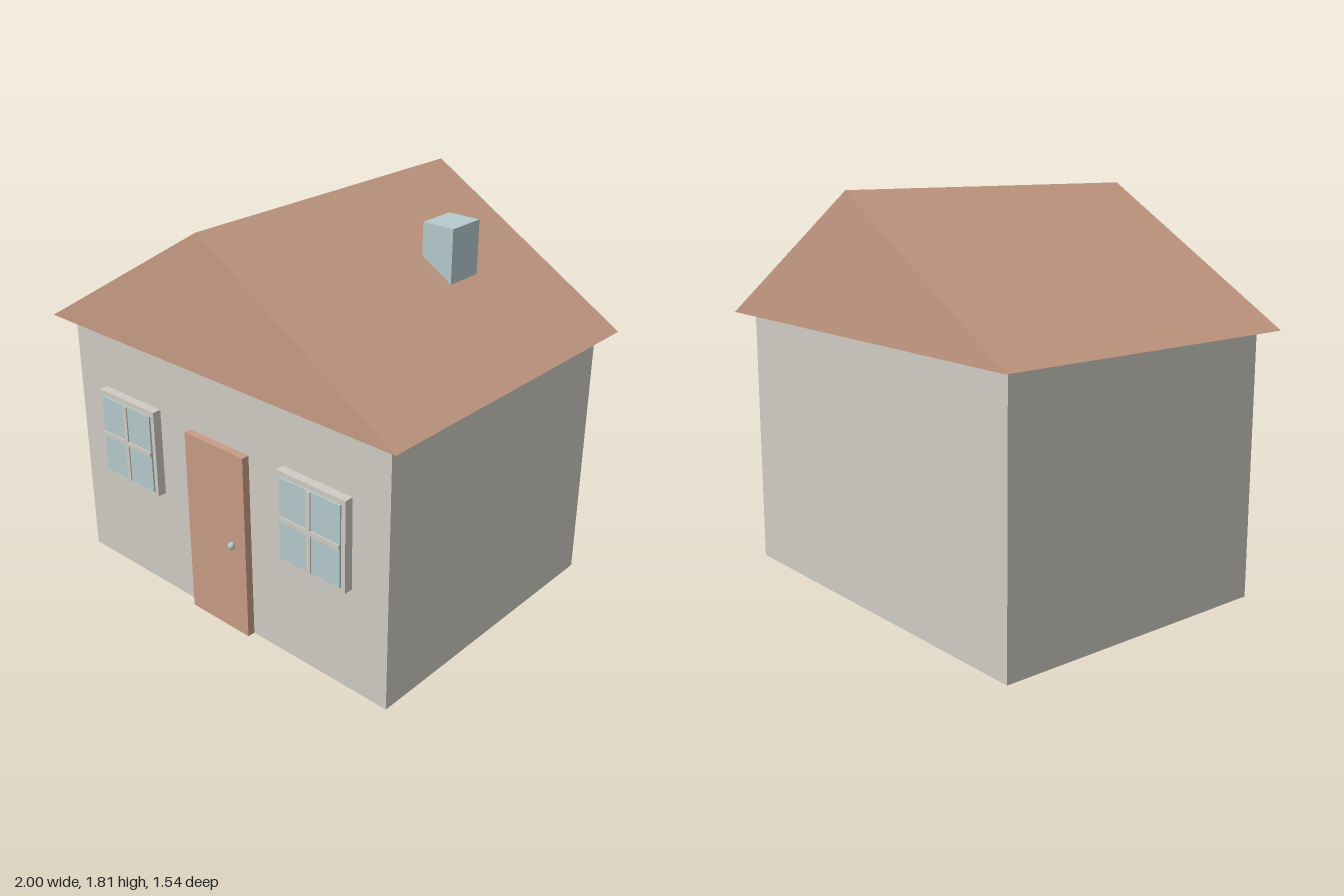
import * as THREE from 'three';

const material = (name, color) => {
  const m = new THREE.MeshStandardMaterial({ color });
  m.name = name;
  return m;
};

export function createModel() {
  const wall = material('stoneWall', 0xd0ccc4);
  const clay = material('clay', 0xc89c85);
  const blue = material('paleBlue', 0xb6cacd);

  const house = new THREE.Group();
  house.name = 'house';

  const add = (parent, name, geometry, mat) => {
    const mesh = new THREE.Mesh(geometry, mat);
    mesh.name = name;
    parent.add(mesh);
    return mesh;
  };

  // Box given by its extents along each axis
  const box = (parent, name, mat, [x0, x1], [y0, y1], [z0, z1]) => {
    const geometry = new THREE.BoxGeometry(x1 - x0, y1 - y0, z1 - z0);
    geometry.translate((x0 + x1) / 2, (y0 + y1) / 2, (z0 + z1) / 2);
    return add(parent, name, geometry, mat);
  };

  // Main body
  box(house, 'walls', wall, [-0.927, 0.927], [0, 1.21], [-0.697, 0.697]);

  // Solid gable roof overhanging on every side
  const gable = new THREE.Shape([
    new THREE.Vector2(-1, 1.21),
    new THREE.Vector2(1, 1.21),
    new THREE.Vector2(0, 1.81),
  ]);
  const roof = new THREE.ExtrudeGeometry(gable, { depth: 1.536, bevelEnabled: false });
  roof.translate(0, 0, -0.768);
  add(house, 'roof', roof, clay);

  // Chimney rising through the +x slope
  box(house, 'chimney', blue, [0.387, 0.542], [1.4, 1.725], [-0.325, -0.143]);

  // Door with a round knob
  box(house, 'door', clay, [-0.176, 0.176], [0, 0.883], [0.69, 0.733]);
  const knob = add(house, 'doorKnob', new THREE.SphereGeometry(0.016, 20, 14), blue);
  knob.position.set(0.106, 0.444, 0.747);

  // Windows: backing frame, pane and crossed glazing bars
  for (const side of [-1, 1]) {
    const window = new THREE.Group();
    window.name = side > 0 ? 'leftWindow' : 'rightWindow';
    window.position.x = side * 0.557;
    box(window, 'windowFrame', wall, [-0.184, 0.184], [0.492, 0.91], [0.69, 0.738]);
    box(window, 'windowPane', blue, [-0.163, 0.163], [0.512, 0.886], [0.737, 0.746]);
    box(window, 'verticalBar', wall, [-0.011, 0.011], [0.514, 0.884], [0.742, 0.752]);
    box(window, 'horizontalBar', wall, [-0.162, 0.162], [0.69, 0.711], [0.742, 0.7525]);
    house.add(window);
  }

  return house;
}
